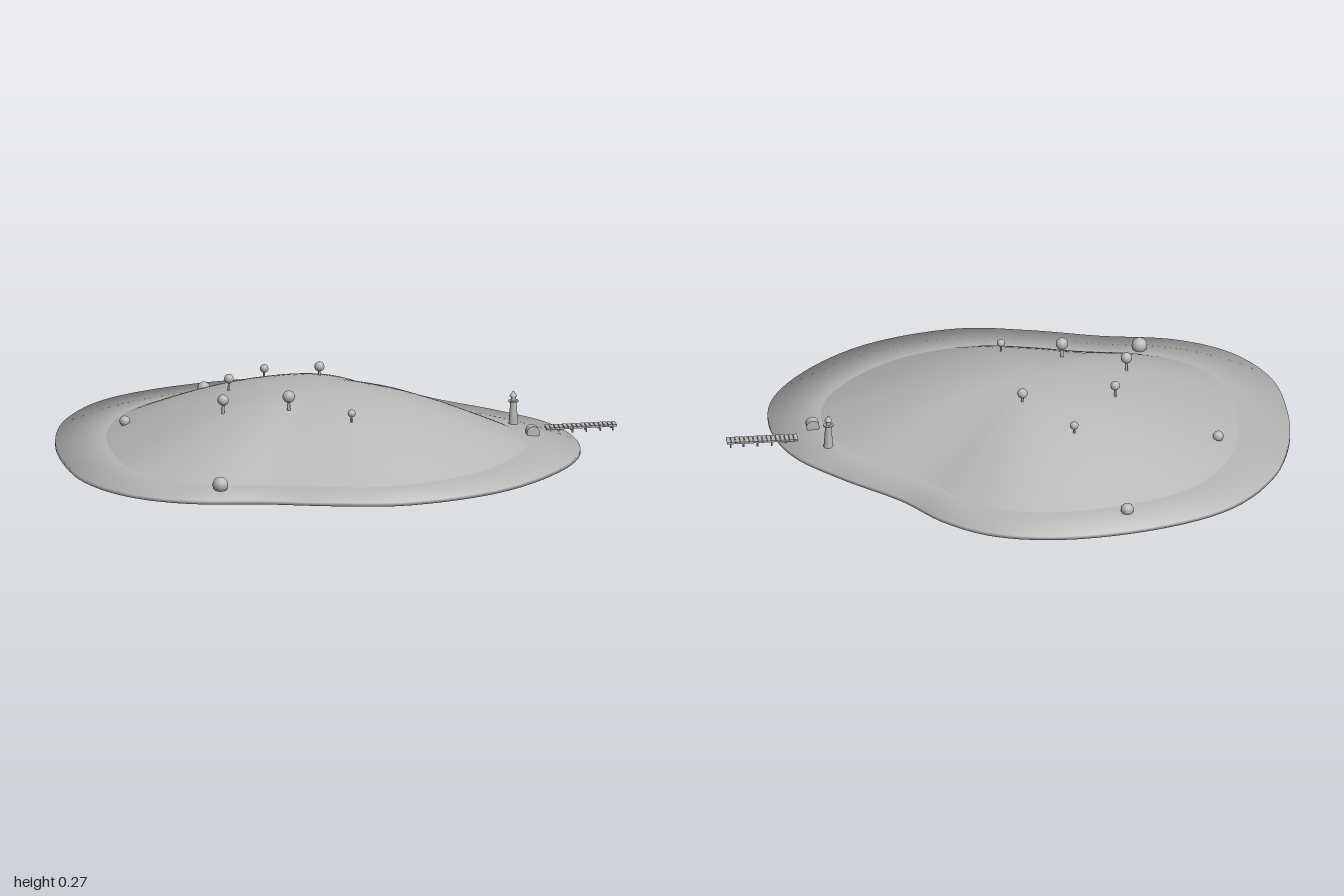
import * as THREE from 'three';

const stone = new THREE.MeshStandardMaterial({ color: 0xb8b8b8 });
stone.name = 'plain grey';

// Shoreline, seen from above, as x and z
const SHORE = [
  [0.83, 0.12], [0.81, 0.32], [0.68, 0.53], [0.43, 0.73], [0.09, 0.82], [-0.16, 0.78], [-0.40, 0.71],
  [-0.67, 0.65], [-0.85, 0.53], [-0.97, 0.32], [-1.0, 0.04], [-0.975, -0.21], [-0.89, -0.45],
  [-0.72, -0.66], [-0.45, -0.785], [-0.10, -0.83], [0.14, -0.775], [0.30, -0.65], [0.43, -0.47],
  [0.62, -0.28], [0.77, -0.09],
];
const CX = -0.09;
const SIDES = 112;
const shore = new THREE.CatmullRomCurve3(
  SHORE.map(([x, z]) => new THREE.Vector3(x - CX, 0, z)), true,
).getPoints(SIDES).slice(0, SIDES);

// Rings of the shoreline scaled by s at height y; lean tips the normals outward
function terrain(profile) {
  const pos = [], index = [];
  for (const [s, y] of profile) for (const p of shore) pos.push(CX + p.x * s, y, p.z * s);
  for (let i = 0; i < profile.length - 1; i++) {
    for (let j = 0; j < SIDES; j++) {
      const k = (j + 1) % SIDES;
      const a = i * SIDES + j, b = i * SIDES + k, c = a + SIDES, d = b + SIDES;
      if (profile[i][0] > 0) index.push(a, c, b);
      if (profile[i + 1][0] > 0) index.push(b, c, d);
    }
  }
  const g = new THREE.BufferGeometry();
  g.setAttribute('position', new THREE.Float32BufferAttribute(pos, 3));
  g.setIndex(index);
  g.computeVertexNormals();
  const normal = g.attributes.normal, n = new THREE.Vector3(), out = new THREE.Vector3();
  profile.forEach(([, , lean = 0], i) => {
    if (!lean) return;
    for (let j = 0; j < SIDES; j++) {
      const p = shore[(j + SIDES - 1) % SIDES], q = shore[(j + 1) % SIDES];
      out.set(q.z - p.z, 0, p.x - q.x).normalize();
      n.fromBufferAttribute(normal, i * SIDES + j).addScaledVector(out, lean).normalize();
      normal.setXYZ(i * SIDES + j, n.x, n.y, n.z);
    }
  });
  return g;
}

function part(parent, name, geometry, x = 0, y = 0, z = 0) {
  const mesh = new THREE.Mesh(geometry, stone);
  mesh.name = name;
  mesh.position.set(x, y, z);
  parent.add(mesh);
  return mesh;
}

function group(parent, name, x = 0, y = 0, z = 0) {
  const g = new THREE.Group();
  g.name = name;
  g.position.set(x, y, z);
  parent.add(g);
  return g;
}

export function createModel() {
  const island = new THREE.Group();
  island.name = 'island';

  // Beach slab with a closed underside
  part(island, 'beach', terrain([[0, 0], [0.5, 0], [1, 0, 1], [1, 0.013, 1], [0.8, 0.026], [0.76, 0.027]]));

  // Hill with a cosine slope
  const slope = [];
  for (let i = 0; i <= 16; i++) {
    const t = 1 - i / 16;
    slope.push([0.8 * t, 0.026 + 0.202 * Math.cos(t * Math.PI / 2)]);
  }
  part(island, 'hill', terrain(slope));

  // Trees: x, crown height, z, crown radius
  const trees = [
    [-0.435, 0.22, 0.125, 0.02], [-0.37, 0.23, -0.105, 0.017], [-0.215, 0.245, 0.21, 0.022],
    [-0.035, 0.243, -0.155, 0.018], [-0.01, 0.203, 0.32, 0.014], [-0.2, 0.195, -0.33, 0.015],
  ];
  for (const [x, y, z, r] of trees) {
    const tree = group(island, 'tree', x, y, z);
    part(tree, 'crown', new THREE.SphereGeometry(r, 16, 12));
    part(tree, 'trunk', new THREE.CylinderGeometry(r * 0.2, r * 0.28, 0.05, 8), 0, -0.025, 0);
  }

  // Rounded boulders near the shore
  for (const [x, y, z, r] of [[-0.53, 0.04, 0.57, 0.028], [-0.725, 0.064, -0.21, 0.019], [-0.35, 0.032, -0.68, 0.023]]) {
    part(island, 'boulder', new THREE.SphereGeometry(r, 18, 12), x, y, z);
  }

  // Round-roofed hut
  part(island, 'hut', new THREE.CylinderGeometry(0.023, 0.023, 0.036, 20).rotateX(Math.PI / 2), 0.685, 0.034, 0.09);

  // Lighthouse
  const tower = group(island, 'lighthouse', 0.645, 0, -0.06);
  part(tower, 'tower', new THREE.CylinderGeometry(0.011, 0.017, 0.085, 20), 0, 0.0625, 0);
  part(tower, 'gallery', new THREE.CylinderGeometry(0.018, 0.018, 0.005, 20), 0, 0.1065, 0);
  part(tower, 'lantern', new THREE.CylinderGeometry(0.009, 0.009, 0.018, 16), 0, 0.117, 0);
  part(tower, 'roof', new THREE.ConeGeometry(0.014, 0.021, 16), 0, 0.1345, 0);

  // Jetty of planks on beams and posts
  const jetty = group(island, 'jetty', 0, 0, 0.016);
  const planks = 16, pitch = 0.255 / planks;
  for (let i = 0; i < planks; i++) {
    part(jetty, 'plank', new THREE.BoxGeometry(pitch * 0.86, 0.005, 0.044), 0.745 + pitch * (i + 0.5), 0.026, 0);
  }
  for (const z of [-0.016, 0.016]) {
    part(jetty, 'beam', new THREE.BoxGeometry(0.253, 0.004, 0.005), 0.8725, 0.0217, z);
    for (const x of [0.79, 0.84, 0.89, 0.94, 0.985]) {
      part(jetty, 'post', new THREE.CylinderGeometry(0.003, 0.003, 0.018, 8), x, 0.015, z);
    }
  }

  return island;
}
